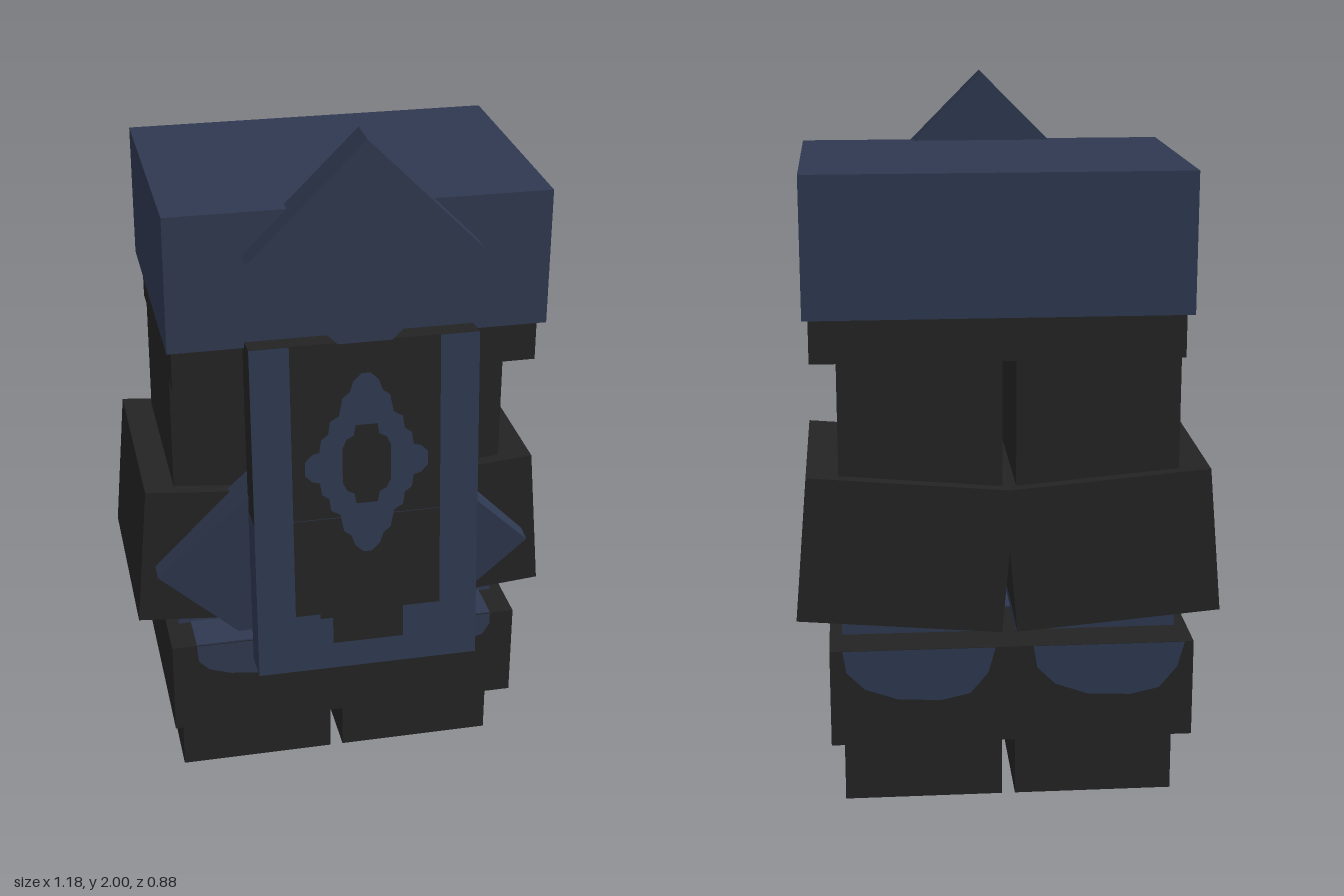
import * as THREE from 'three';

export function createModel() {
  const model = new THREE.Group();
  model.name = 'armouredLegs';
  const blue = new THREE.MeshStandardMaterial({ name: 'navy blue', color: 0x2e384f });
  const dark = new THREE.MeshStandardMaterial({ name: 'charcoal', color: 0x232323 });

  const add = (name, geometry, material, parent = model) => {
    const mesh = new THREE.Mesh(geometry, material);
    mesh.name = name;
    parent.add(mesh);
    return mesh;
  };
  // Box given by its limits on each axis
  const box = (name, material, [x0, x1], [y0, y1], [z0, z1], parent) => {
    const mesh = add(name, new THREE.BoxGeometry(x1 - x0, y1 - y0, z1 - z0), material, parent);
    mesh.position.set((x0 + x1) / 2, (y0 + y1) / 2, (z0 + z1) / 2);
    return mesh;
  };
  const outline = (points) => new THREE.Shape(points.map(([x, y]) => new THREE.Vector2(x, y)));
  // Flat painted shape facing +z
  const paint = (name, material, shape, z, parent) => {
    const mesh = add(name, new THREE.ShapeGeometry(shape), material, parent);
    mesh.position.z = z;
    return mesh;
  };

  // Waist
  box('waistBlock', blue, [-0.485, 0.55], [1.425, 1.805], [-0.44, 0.29]);
  box('belt', dark, [-0.47, 0.535], [1.3, 1.425], [-0.4, 0.254]);

  // Legs, knee guards and knee diamonds on both sides
  for (const s of [-1, 1]) {
    const side = s > 0 ? 'left' : 'right';
    const span = s > 0 ? [0.018, 0.465] : [-0.47, -0.02];
    box(side + 'Thigh', dark, span, [0.65, 1.3], [-0.333, 0.185]);
    box(side + 'Shin', blue, span, [0.18, 0.65], [-0.317, 0.165]);
    box(side + 'Foot', dark, span, [0, 0.18], [-0.317, 0.165]);

    // Raised scallop of the foot colour on the front and outer side
    const scallop = outline([[-0.07, 0.178], [-0.045, 0.198], [-0.02, 0.207], [0.02, 0.207], [0.045, 0.198], [0.07, 0.178]]);
    paint(side + 'FootScallop', dark, scallop, 0.168).position.x = s * 0.315;
    const outer = paint(side + 'FootSideScallop', dark, scallop, -0.065);
    outer.position.x = s > 0 ? 0.468 : -0.473;
    outer.rotation.y = s * Math.PI / 2;

    const guard = add(side + 'KneeGuard', new THREE.BoxGeometry(0.57, 0.413, 0.592), dark);
    guard.position.set(s * 0.287, 0.748, -0.074);
    guard.rotation.z = s * 0.087;

    const knee = new THREE.Group();
    knee.name = side + 'KneeDiamond';
    knee.position.set(s * 0.235, 0.74, 0.224);
    knee.rotation.x = 0.135;
    const plate = add(side + 'KneePlate', new THREE.BoxGeometry(0.424, 0.424, 0.1), blue, knee);
    plate.rotation.z = Math.PI / 4;
    model.add(knee);
  }

  // Boot cuff with dripping trim
  box('bootCuff', dark, [-0.505, 0.5], [0.225, 0.503], [-0.44, 0.29]);
  box('cuffTopTrim', blue, [-0.435, 0.43], [0.5, 0.507], [-0.14, 0.29]);
  paint('cuffFrontTrim', blue, outline([
    [-0.435, 0.503], [-0.43, 0.45], [-0.4, 0.42], [-0.34, 0.4], [-0.25, 0.388], [-0.15, 0.39], [-0.06, 0.4],
    [-0.02, 0.43], [0.02, 0.43], [0.06, 0.4], [0.13, 0.38], [0.22, 0.38], [0.28, 0.4], [0.36, 0.42],
    [0.41, 0.435], [0.43, 0.47], [0.43, 0.503]]), 0.293);
  const drip = outline([[-0.21, 0.503], [-0.2, 0.44], [-0.15, 0.39], [-0.06, 0.358], [0.06, 0.352],
    [0.14, 0.37], [0.19, 0.43], [0.21, 0.503]]);
  for (const x of [-0.27, 0.255]) {
    const trim = paint('cuffBackTrim', blue, drip, -0.443);
    trim.position.x = x;
    trim.rotation.y = Math.PI;
  }
  const sideTrim = outline([[-0.28, 0.503], [-0.27, 0.475], [0.06, 0.472], [0.14, 0.503]]);
  paint('cuffSideTrim', blue, sideTrim, 0).position.x = 0.503;
  model.children.at(-1).rotation.y = Math.PI / 2;

  // Hanging front panel, leaning outwards at the bottom
  const panel = new THREE.Group();
  panel.name = 'frontPanel';
  panel.position.set(0.0325, 0.96, 0.348);
  panel.rotation.x = -0.087;
  model.add(panel);
  box('panelUpper', dark, [-0.312, 0.312], [-0.02, 0.485], [-0.05, 0.05], panel);
  box('panelLower', blue, [-0.312, 0.312], [-0.485, -0.02], [-0.05, 0.05], panel);
  for (const s of [-1, 1]) {
    const strip = add('panelBorder', new THREE.PlaneGeometry(0.107, 0.505), blue, panel);
    strip.position.set(s * 0.2585, 0.2325, 0.053);
  }
  paint('panelField', dark, outline([[-0.205, -0.02], [-0.205, -0.31], [-0.135, -0.31], [-0.135, -0.325],
    [-0.1, -0.325], [-0.1, -0.405], [0.1, -0.405], [0.1, -0.31], [0.205, -0.31], [0.205, -0.02]]), 0.053, panel);

  // Stepped ornament: one quarter mirrored around its centre
  const ring = (quarter) => {
    const flipX = quarter.map(([x, y]) => [-x, y]).reverse();
    const half = [...quarter, ...flipX];
    return [...half, ...half.map(([x, y]) => [-x, -y])];
  };
  const ornament = outline(ring([[0.17, 0.02], [0.15, 0.04], [0.13, 0.045], [0.125, 0.08], [0.105, 0.095],
    [0.1, 0.13], [0.075, 0.145], [0.065, 0.195], [0.045, 0.21], [0.035, 0.24], [0.012, 0.262]]));
  ornament.holes.push(outline(ring([[0.067, 0.05], [0.055, 0.075], [0.035, 0.085], [0.03, 0.115]])));
  paint('panelOrnament', blue, ornament, 0.056, panel).position.y = 0.135;

  // Diamond plate above the panel
  const crest = add('waistDiamond', new THREE.BoxGeometry(0.445, 0.445, 0.102), blue);
  crest.position.set(0.0325, 1.685, 0.305);
  crest.rotation.z = Math.PI / 4;

  return model;
}
